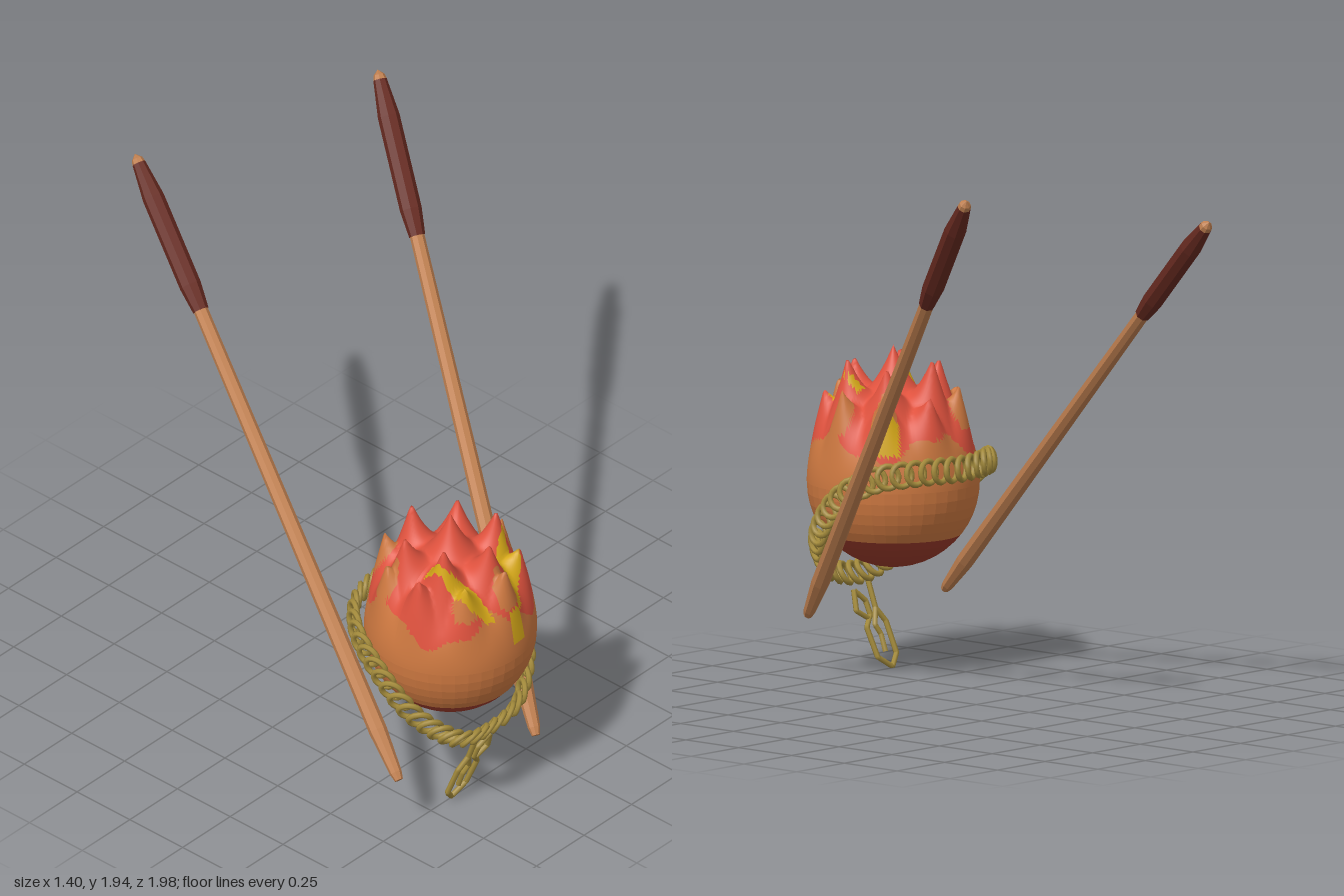
import * as THREE from 'three';

const mat = (color, extra = {}) => new THREE.MeshStandardMaterial({ color, ...extra });
const ORANGE = 0xcd7840, RED = 0xe0523e, YELLOW = 0xd6a818, DARK = 0x9a3a2a;
const BALL = new THREE.Vector3(-0.33, 0.69, 0.69), R = 0.305;

function add(parent, name, geometry, material) {
  const mesh = new THREE.Mesh(geometry, material);
  mesh.name = name;
  parent.add(mesh);
  return mesh;
}

// Flame spikes: one in the middle, two rings around it
const spikes = [{ x: 0, z: 0, h: 0.14, w: 0.1 }];
for (const [n, r, h, w, turn] of [[6, 0.175, 0.165, 0.095, 0.45], [9, 0.245, 0.14, 0.085, 0.1]]) {
  for (let i = 0; i < n; i++) {
    const a = turn + (i / n) * Math.PI * 2;
    spikes.push({ x: r * Math.cos(a), z: r * Math.sin(a), h: h * (i % 2 ? 0.9 : 1.05), w, patch: n === 9 && i % 3 !== 1 });
  }
}

// Colour of a point on the flame crown, relative to the ball centre
function crownColor(x, y, z) {
  const a = Math.atan2(z, x);
  if (z > 0.02) {
    // slanted eyes and a nose stripe on the front
    const t = (y - 0.17) / 0.22;
    if (t > 0 && t < 1 && Math.abs(Math.abs(x) - (0.07 + 0.1 * t)) < 0.012 + 0.03 * (1 - Math.abs(2 * t - 0.9))) return YELLOW;
    if (z > 0.15 && Math.abs(x - 0.03) < 0.03 && y > 0.06 && y < 0.19) return YELLOW;
  }
  // a flash of yellow on the rear left
  if (Math.abs(a + 0.62) < 0.2 && y > 0.13 && y < 0.31 - Math.abs(a + 0.62) * 0.4) return YELLOW;
  if (spikes.some(s => s.patch && Math.hypot(x - s.x, z - s.z) < 0.045 && y > 0.2)) return ORANGE;
  return y > 0.15 + 0.045 * Math.sin(4 * a + 0.6) + 0.015 * Math.sin(11 * a) ? RED : ORANGE;
}

function makeBall() {
  const ball = new THREE.Group();
  ball.name = 'flameBall';
  ball.position.copy(BALL);
  const row = Math.PI / 24;
  add(ball, 'ballBody', new THREE.SphereGeometry(R, 40, 5, 0, Math.PI * 2, 12 * row, 5 * row), mat(ORANGE, { flatShading: true }));
  add(ball, 'ballBase', new THREE.SphereGeometry(R, 40, 7, 0, Math.PI * 2, 17 * row, 7 * row), mat(DARK, { flatShading: true }));

  // Upper half pulled up into spikes
  const crown = new THREE.SphereGeometry(R, 120, 48, 0, Math.PI * 2, 0, Math.PI / 2);
  const p = crown.attributes.position;
  for (let i = 0; i < p.count; i++) {
    const x = p.getX(i), y = p.getY(i), z = p.getZ(i);
    let lift = 0;
    for (const s of spikes) {
      const d = Math.hypot(x - s.x, z - s.z) / s.w;
      if (d < 1) lift = Math.max(lift, s.h * (1 - d) ** 1.7);
    }
    p.setY(i, y * 1.13 + lift * THREE.MathUtils.smoothstep(y, 0.02, 0.14));
  }
  crown.computeVertexNormals();

  // Sort the crown's triangles into one mesh per colour
  const flat = crown.toNonIndexed(), fp = flat.attributes.position.array, fn = flat.attributes.normal.array;
  const parts = new Map();
  for (let i = 0; i < fp.length; i += 9) {
    const mid = [0, 1, 2].map(k => (fp[i + k] + fp[i + 3 + k] + fp[i + 6 + k]) / 3);
    const c = crownColor(...mid);
    if (!parts.has(c)) parts.set(c, { pos: [], nor: [] });
    for (let k = 0; k < 9; k++) {
      parts.get(c).pos.push(fp[i + k]);
      parts.get(c).nor.push(fn[i + k]);
    }
  }
  const names = { [ORANGE]: 'crownOrange', [RED]: 'crownRed', [YELLOW]: 'crownYellow' };
  for (const [c, { pos, nor }] of parts) {
    const g = new THREE.BufferGeometry();
    g.setAttribute('position', new THREE.Float32BufferAttribute(pos, 3));
    g.setAttribute('normal', new THREE.Float32BufferAttribute(nor, 3));
    add(ball, names[c], g, mat(c));
  }
  return ball;
}

// Stick from its tip to its handle end: tapered shaft, dark grip, pale point
function makeStick(name, from, to) {
  const stick = new THREE.Group();
  stick.name = name;
  const dir = to.clone().sub(from), len = dir.length();
  stick.position.copy(from);
  stick.quaternion.setFromUnitVectors(new THREE.Vector3(0, 1, 0), dir.normalize());
  const lathe = pts => new THREE.LatheGeometry(pts.map(([r, t]) => new THREE.Vector2(r, t * len)), 8);
  const wood = mat(0xc08050, { flatShading: true });
  add(stick, 'shaft', lathe([[0, 0], [0.015, 0], [0.022, 0.012], [0.033, 0.08], [0.026, 0.76]]), wood);
  add(stick, 'grip', lathe([[0.02, 0.75], [0.029, 0.75], [0.039, 0.79], [0.039, 0.93], [0.024, 0.985], [0, 0.985]]), mat(0x672a20, { flatShading: true }));
  add(stick, 'endPoint', lathe([[0.024, 0.985], [0.02, 0.992], [0, 1]]), wood);
  return stick;
}

// Chain slung around the ball, low in front and high at the back
function makeChain(gold) {
  const chain = new THREE.Group();
  chain.name = 'chain';
  const half = [[0, 0.34, 0.88], [0.14, 0.37, 0.88], [0.24, 0.445, 0.84], [0.31, 0.54, 0.77],
    [0.335, 0.66, 0.66], [0.3, 0.74, 0.53], [0.19, 0.765, 0.42], [0, 0.765, 0.375]];
  const mirrored = half.slice(1, -1).reverse().map(([x, y, z]) => [-x, y, z]);
  const path = new THREE.CatmullRomCurve3([...half, ...mirrored].map(([x, y, z]) => new THREE.Vector3(x - 0.34, y, z)), true);
  const link = new THREE.TorusGeometry(0.04, 0.0105, 6, 16);
  const count = 44;
  for (let i = 0; i < count; i++) {
    const pos = path.getPointAt(i / count), along = path.getTangentAt(i / count);
    const out = pos.clone().sub(new THREE.Vector3(-0.34, 0.56 * pos.y + 0.31, 0.65));
    const side = out.cross(along).normalize();
    const normal = along.clone().cross(side);
    const mesh = add(chain, 'link', link, gold);
    mesh.position.copy(pos);
    mesh.quaternion.setFromRotationMatrix(new THREE.Matrix4().makeBasis(along, side, normal));
    mesh.rotateY(0.35); // each link leans over the next
  }
  return chain;
}

// Bent wire hanging below the front of the chain, leaning back
function makePendant(gold) {
  const pendant = new THREE.Group();
  pendant.name = 'pendant';
  const wires = [
    [[-0.385, 0.31], [-0.385, 0.215], [-0.42, 0.165], [-0.43, 0.055], [-0.392, 0.012], [-0.33, 0.052],
      [-0.315, 0.155], [-0.35, 0.195], [-0.345, 0.245], [-0.3, 0.285]],
    [[-0.3, 0.285], [-0.285, 0.215], [-0.335, 0.185]],
    [[-0.385, 0.215], [-0.36, 0.16], [-0.378, 0.125], [-0.377, 0.065]],
  ];
  for (const pts of wires) {
    const curve = new THREE.CurvePath();
    const v = pts.map(([x, y]) => new THREE.Vector3(x, y, 0.745 + 0.37 * y));
    for (let i = 1; i < v.length; i++) curve.add(new THREE.LineCurve3(v[i - 1], v[i]));
    add(pendant, 'wire', new THREE.TubeGeometry(curve, pts.length * 8, 0.01, 6), gold);
  }
  return pendant;
}

export function createModel() {
  const model = new THREE.Group();
  model.name = 'flameBallWithSticks';
  const gold = mat(0xa58c3c);
  model.add(
    makeBall(),
    makeStick('leftStick', new THREE.Vector3(-0.125, 0.21, 0.91), new THREE.Vector3(0.685, 1.95, -0.57)),
    makeStick('rightStick', new THREE.Vector3(-0.69, 0.25, 0.77), new THREE.Vector3(-0.13, 1.82, -0.985)),
    makeChain(gold),
    makePendant(gold),
  );
  return model;
}
